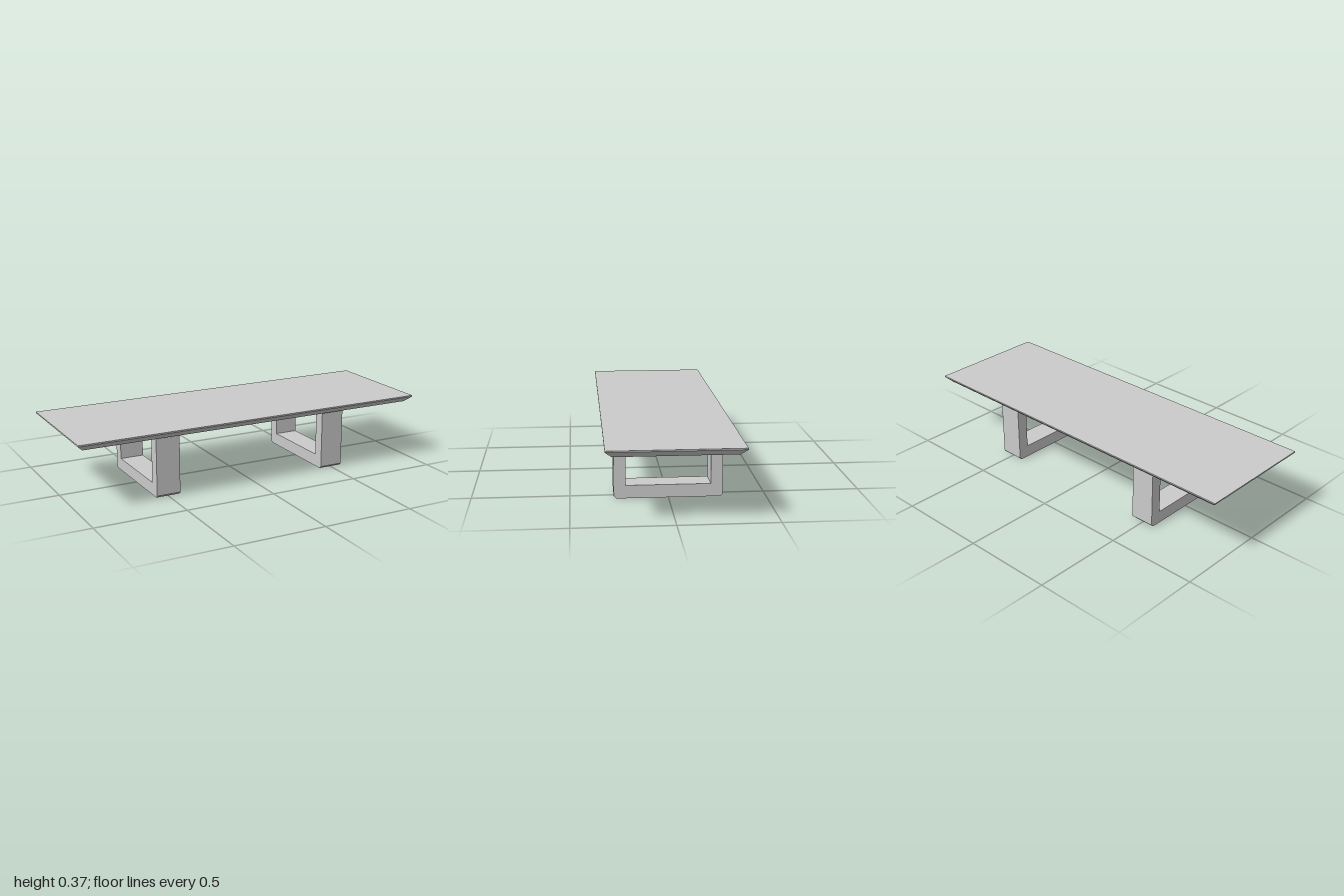
import * as THREE from 'three';

const TOP = 0.367, LIP = 0.36, UNDER = 0.329; // heights of the tabletop
const BEVEL = 0.033;

function createTabletop(material) {
  // Box with one middle ring: a thin upright lip above a slanted underside edge
  const geometry = new THREE.BoxGeometry(2, 2, 0.667, 1, 2, 1);
  const p = geometry.attributes.position;
  for (let i = 0; i < p.count; i++) {
    const row = Math.round(p.getY(i)); // -1 underside, 0 lip, 1 top
    p.setY(i, [UNDER, LIP, TOP][row + 1]);
    if (row < 0) {
      p.setX(i, p.getX(i) - Math.sign(p.getX(i)) * BEVEL);
      p.setZ(i, p.getZ(i) - Math.sign(p.getZ(i)) * BEVEL);
    }
  }
  geometry.computeVertexNormals();
  const mesh = new THREE.Mesh(geometry, material);
  mesh.name = 'tabletop';
  return mesh;
}

function createLegFrame(material, name, x) {
  // U-shaped profile with chamfered bottom corners, extruded along x
  const out = 0.278, inner = 0.217, bar = 0.068, c = 0.012, width = 0.132;
  const shape = new THREE.Shape([
    [-out, UNDER], [-out, c], [-out + c, 0], [out - c, 0], [out, c], [out, UNDER],
    [inner, UNDER], [inner, bar], [-inner, bar], [-inner, UNDER],
  ].map(([z, y]) => new THREE.Vector2(z, y)));
  const geometry = new THREE.ExtrudeGeometry(shape, { depth: width, bevelEnabled: false });
  geometry.translate(0, 0, -width / 2).rotateY(-Math.PI / 2);
  const mesh = new THREE.Mesh(geometry, material);
  mesh.name = name;
  mesh.position.x = x;
  return mesh;
}

export function createModel() {
  const material = new THREE.MeshStandardMaterial({ color: 0xcccccc, flatShading: true });
  const table = new THREE.Group();
  table.name = 'table';
  table.add(
    createTabletop(material),
    createLegFrame(material, 'leftLegFrame', 0.498),
    createLegFrame(material, 'rightLegFrame', -0.5),
  );
  return table;
}
